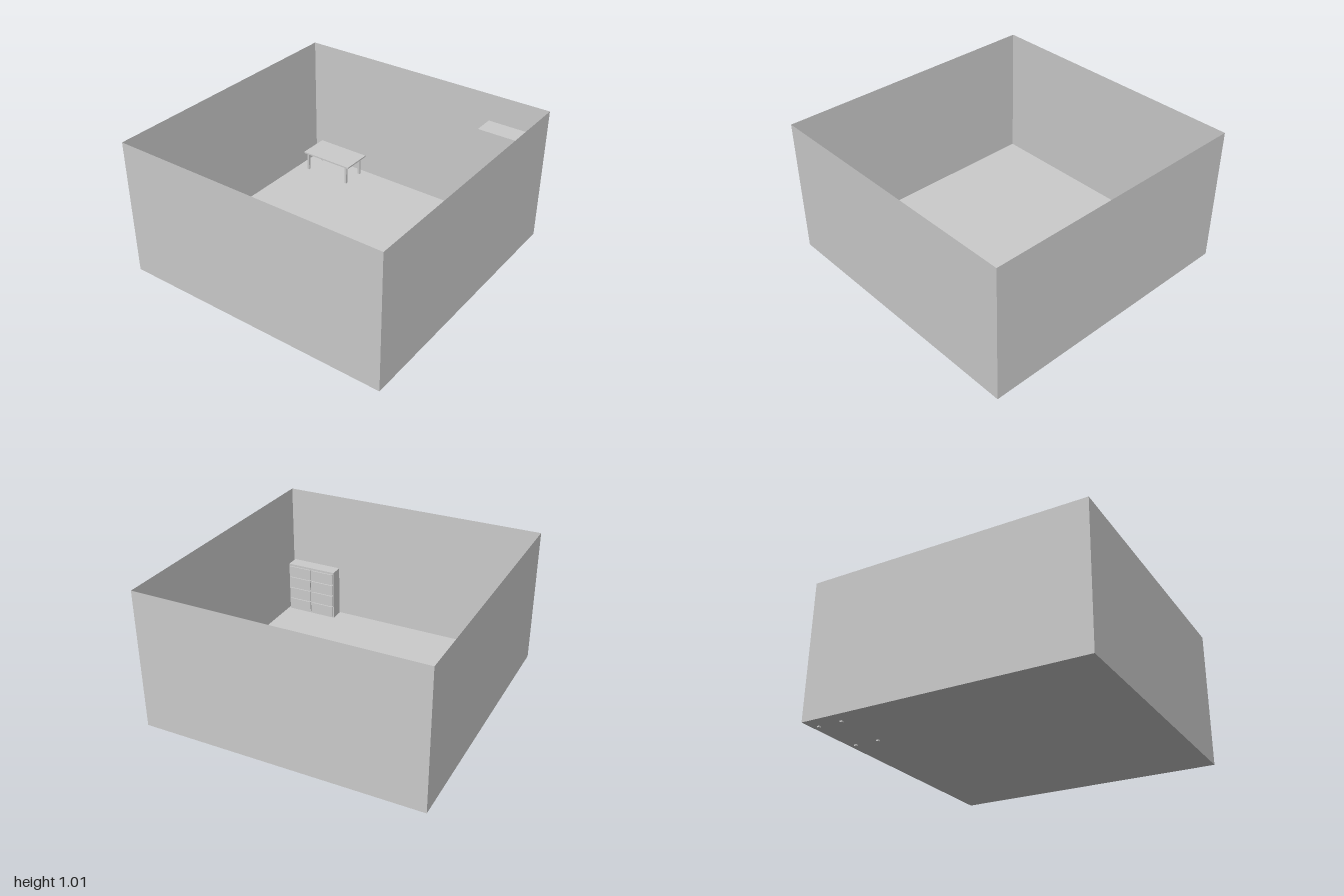
import * as THREE from 'three';

const grey = new THREE.MeshStandardMaterial({ color: 0xcccccc, flatShading: true });
const sheet = new THREE.MeshStandardMaterial({ color: 0xcccccc, flatShading: true, side: THREE.DoubleSide });

const FLOOR = 0.01;

// Box given by its lower and upper limits on each axis
function box(parent, name, [x0, x1], [y0, y1], [z0, z1]) {
  const mesh = new THREE.Mesh(new THREE.BoxGeometry(x1 - x0, y1 - y0, z1 - z0), grey);
  mesh.position.set((x0 + x1) / 2, (y0 + y1) / 2, (z0 + z1) / 2);
  mesh.name = name;
  parent.add(mesh);
  return mesh;
}

function group(parent, name) {
  const g = new THREE.Group();
  g.name = name;
  parent.add(g);
  return g;
}

// Open-topped room: a floor and four thin walls
function addRoom(parent) {
  const room = group(parent, 'room');
  const floor = new THREE.Mesh(new THREE.PlaneGeometry(2, 2), sheet);
  floor.rotation.x = -Math.PI / 2;
  floor.position.y = FLOOR;
  floor.name = 'floor';
  room.add(floor);
  ['frontWall', 'leftWall', 'backWall', 'rightWall'].forEach((name, i) => {
    const angle = (i * Math.PI) / 2;
    const wall = new THREE.Mesh(new THREE.PlaneGeometry(2, 1), sheet);
    wall.position.set(Math.sin(angle), FLOOR + 0.5, Math.cos(angle));
    wall.rotation.y = angle;
    wall.name = name;
    room.add(wall);
  });
}

// Table whose legs reach just through the floor
function addTable(parent) {
  const table = group(parent, 'table');
  box(table, 'tableTop', [-0.925, -0.49], [0.16, 0.172], [-0.978, -0.738]);
  for (const x of [-0.9, -0.527])
    for (const z of [-0.945, -0.765])
      box(table, 'tableLeg', [x - 0.009, x + 0.009], [0, 0.16], [z - 0.009, z + 0.009]);
}

// Tall wardrobe with a pair of handles at the middle of its front
function addWardrobe(parent) {
  const wardrobe = group(parent, 'wardrobe');
  box(wardrobe, 'wardrobeBody', [0.56, 0.99], [FLOOR, 0.81], [-0.99, -0.832]);
  for (const side of [-1, 1]) {
    const x = 0.777 + side * 0.017;
    box(wardrobe, 'wardrobeHandle', [x - 0.007, x + 0.007], [0.37, 0.45], [-0.832, -0.822]);
  }
}

// Chest with two columns of slightly proud drawers facing the room
function addChest(parent) {
  const chest = group(parent, 'drawerChest');
  box(chest, 'chestBody', [0.585, 0.985], [FLOOR, 0.41], [0.89, 0.99]);
  const rows = 4, pitch = 0.095;
  for (const x of [0.595, 0.792])
    for (let r = 0; r < rows; r++) {
      const y = 0.025 + r * pitch;
      box(chest, 'drawer', [x, x + 0.183], [y, y + 0.083], [0.88, 0.89]);
    }
}

export function createModel() {
  const model = new THREE.Group();
  model.name = 'furnishedRoom';
  addRoom(model);
  addTable(model);
  addWardrobe(model);
  addChest(model);
  return model;
}
